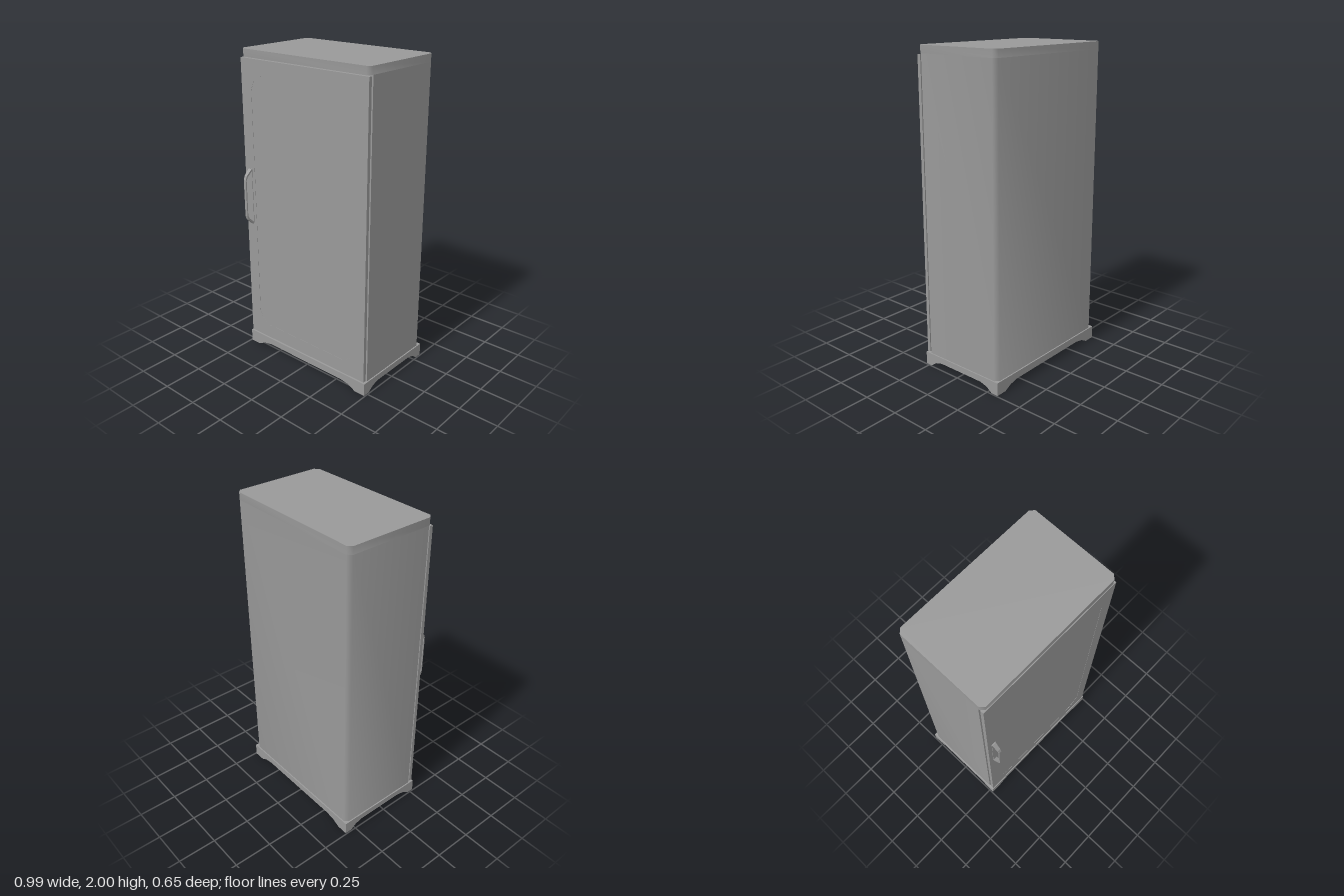
import * as THREE from 'three';
import { toCreasedNormals } from 'three/addons/utils/BufferGeometryUtils.js';

const grey = new THREE.MeshStandardMaterial({ color: 0x999999 });

function addMesh(parent, name, geometry) {
  const mesh = new THREE.Mesh(geometry, grey);
  mesh.name = name;
  parent.add(mesh);
  return mesh;
}

const polygon = (points) => new THREE.Shape(points.map(([x, y]) => new THREE.Vector2(x, y)));

const extrude = (shape, depth) => new THREE.ExtrudeGeometry(shape, { depth, bevelEnabled: false });

// Upright prism from a plan outline given as [x, z] pairs
function prism(plan, bottom, top) {
  const geometry = extrude(polygon(plan.map(([x, z]) => [x, -z])), top - bottom);
  geometry.rotateX(-Math.PI / 2).translate(0, bottom, 0);
  return toCreasedNormals(geometry, Math.PI / 3);
}

// Plan rectangle with chamfered back corners, and optionally front ones
function cabinetPlan(halfWidth, back, front, chamfer, frontChamfer) {
  const points = [
    [-halfWidth, back + chamfer], [-halfWidth + chamfer, back],
    [halfWidth - chamfer, back], [halfWidth, back + chamfer],
  ];
  if (frontChamfer) {
    points.push([halfWidth, front - chamfer], [halfWidth - chamfer, front],
      [-halfWidth + chamfer, front], [-halfWidth, front - chamfer]);
  } else points.push([halfWidth, front], [-halfWidth, front]);
  return points;
}

// Plinth board with two feet and a shallow arch between them
function skirtShape(half, foot, arch, rise, height) {
  const run = foot - arch;
  return polygon([
    [-half, 0], [-foot, 0], [-foot + run * 0.45, rise * 0.68], [-arch, rise],
    [arch, rise], [foot - run * 0.45, rise * 0.68], [foot, 0], [half, 0],
    [half, height], [-half, height],
  ]);
}

function createPlinth() {
  const plinth = new THREE.Group();
  plinth.name = 'plinth';
  const board = 0.025, height = 0.083, halfX = 0.494, back = -0.326, front = 0.277;
  const mid = (back + front) / 2, halfZ = (front - back) / 2;

  const wide = skirtShape(halfX, 0.42, 0.31, 0.038, height);
  addMesh(plinth, 'frontSkirt', extrude(wide, board)).position.z = front - board;
  addMesh(plinth, 'backSkirt', extrude(wide, board)).position.z = back;

  const narrow = skirtShape(halfZ - board, 0.257, 0.165, 0.044, height);
  for (const side of [-1, 1]) {
    const skirt = addMesh(plinth, side > 0 ? 'leftSkirt' : 'rightSkirt', extrude(narrow, board));
    skirt.rotation.y = Math.PI / 2;
    skirt.position.set(side > 0 ? halfX - board : -halfX, 0, mid);
  }
  const floor = new THREE.BoxGeometry(2 * (halfX - board), 0.015, 2 * (halfZ - board));
  addMesh(plinth, 'floor', floor).position.set(0, height - 0.0075, mid);
  return plinth;
}

// Upright rectangle with softened three-facet corners
function panelPoints(x, bottom, top) {
  const corner = [[0.085, 0], [0.04, 0.022], [0.012, 0.06], [0, 0.085]];
  const upperRight = corner.map(([down, inset]) => [x - inset, top - down]);
  const upperLeft = upperRight.map(([px, py]) => [-px, py]).reverse();
  const upper = [...upperRight, ...upperLeft];
  const lower = upper.map(([px, py]) => [px, bottom + top - py]).reverse();
  return [...upper, ...lower];
}

function createHandle() {
  const handle = new THREE.Group();
  handle.name = 'handle';
  handle.position.x = -0.44;

  // Mounting plate on the door
  addMesh(handle, 'handlePlate', new THREE.BoxGeometry(0.03, 0.372, 0.006)).position.set(0, 1.076, 0.273);

  // Bracket bar: side profile extruded across x, tapering away from the door
  const profile = polygon([
    [0.272, 0.892], [0.278, 0.892], [0.317, 0.93], [0.326, 0.955], [0.326, 1.198], [0.317, 1.222],
    [0.278, 1.26], [0.272, 1.26], [0.272, 1.25], [0.311, 1.213], [0.319, 1.194],
    [0.319, 0.959], [0.311, 0.939], [0.272, 0.902],
  ]);
  const bar = extrude(profile, 0.028);
  bar.translate(0, 0, -0.014).rotateY(-Math.PI / 2);
  const p = bar.attributes.position;
  for (let i = 0; i < p.count; i++) {
    const taper = THREE.MathUtils.mapLinear(p.getZ(i), 0.272, 0.326, 1, 0.65);
    p.setX(i, p.getX(i) * taper);
  }
  bar.computeVertexNormals();
  addMesh(handle, 'handleBar', bar);
  return handle;
}

function createDoor() {
  const door = new THREE.Group();
  door.name = 'door';
  const x = 0.484, bottom = 0.09, top = 1.947, back = 0.251, front = 0.273;

  // Frame with an opening, and the panel set very slightly back in it
  const opening = panelPoints(0.403, 0.183, 1.851);
  const frame = polygon([[-x, bottom], [x, bottom], [x, top], [-x, top]]);
  frame.holes.push(new THREE.Path(opening.map(([px, py]) => new THREE.Vector2(px, py))));
  addMesh(door, 'doorFrame', extrude(frame, front - back)).position.z = back;
  addMesh(door, 'doorPanel', extrude(polygon(opening), front - back - 0.003)).position.z = back + 0.0015;
  door.add(createHandle());
  return door;
}

export function createModel() {
  const model = new THREE.Group();
  model.name = 'cabinet';
  model.add(createPlinth());
  addMesh(model, 'body', prism(cabinetPlan(0.486, -0.318, 0.241, 0.024, false), 0.083, 1.953));
  addMesh(model, 'topCap', prism(cabinetPlan(0.486, -0.318, 0.27, 0.024, true), 1.953, 2));
  model.add(createDoor());
  return model;
}
